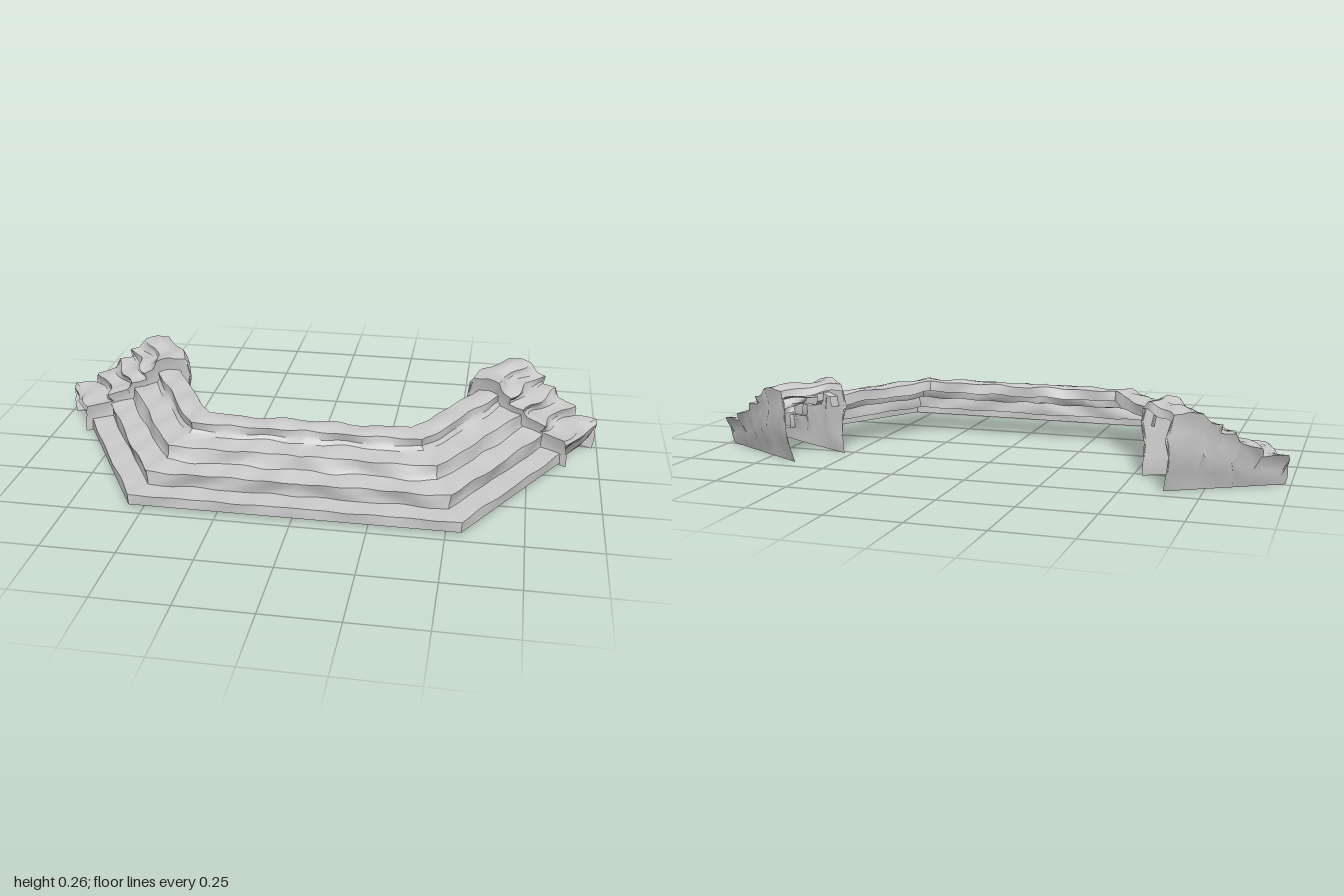
import * as THREE from 'three';
import { toCreasedNormals } from 'three/addons/utils/BufferGeometryUtils.js';

const material = new THREE.MeshStandardMaterial({ color: 0xcccccc, roughness: 0.9, side: THREE.DoubleSide });
const C = Math.cos(Math.PI / 6), S = 0.5, TAN = Math.tan(Math.PI / 6);
const CORNER_X = 0.55, FRONT_Z = 0.46;

// Stair cross-sections as [offset from the outer foot line, height]
const stairProfile = [
  [0, 0.008], [0, 0.044], [-0.078, 0.047], [-0.078, 0.06], [-0.074, 0.096], [-0.155, 0.103], [-0.16, 0.115],
  [-0.167, 0.15], [-0.25, 0.157], [-0.262, 0.17], [-0.262, 0.197], [-0.3, 0.204], [-0.342, 0.2], [-0.35, 0.165],
];
const blockProfile = [
  [-0.015, 0], [0.03, 0.085], [0.015, 0.1], [-0.075, 0.104], [-0.08, 0.115], [-0.078, 0.135], [-0.145, 0.143],
  [-0.15, 0.155], [-0.148, 0.174], [-0.205, 0.182], [-0.212, 0.19], [-0.21, 0.21], [-0.25, 0.217],
  [-0.263, 0.23], [-0.268, 0.246], [-0.31, 0.256], [-0.365, 0.247], [-0.376, 0.225],
];

// Split every profile edge so the stone can be worn unevenly
function subdivide(profile, parts) {
  const out = [];
  for (let i = 0; i < profile.length - 1; i++) {
    for (let k = 0; k < parts; k++) {
      const f = k / parts;
      out.push(profile[i].map((a, c) => a + (profile[i + 1][c] - a) * f));
    }
  }
  out.push(profile.at(-1));
  return out;
}

// Arm coordinates: t runs along the arm, n points outwards
function armPoint(t, n, y) {
  return new THREE.Vector3(CORNER_X + S * t + C * n, y, FRONT_Z - C * t + S * n);
}

// Worn stone: gentle waves, fading out at the ground
function wear(p, amount) {
  const a = amount * Math.min(1, Math.max(0, p.y - 0.01) / 0.06);
  const { x, y, z } = p;
  p.x += a * 0.6 * Math.sin(27 * z + 31 * y);
  p.y += a * 0.7 * Math.sin(37 * x + 11 * z) * Math.cos(33 * z - 9 * x);
  p.z += a * Math.sin(24 * x + 45 * y + 1);
  return p;
}

// Surface over a grid of points; faces point along du x dv
function skin(name, nu, nv, point) {
  const pos = [], index = [];
  for (let j = 0; j <= nv; j++) {
    for (let i = 0; i <= nu; i++) {
      pos.push(...point(i, j).toArray());
      if (i < nu && j < nv) {
        const a = j * (nu + 1) + i, b = a + 1, c = a + nu + 1, d = c + 1;
        index.push(a, b, d, a, d, c);
      }
    }
  }
  const geo = new THREE.BufferGeometry();
  geo.setAttribute('position', new THREE.Float32BufferAttribute(pos, 3));
  geo.setIndex(index);
  const mesh = new THREE.Mesh(toCreasedNormals(geo, 0.65), material);
  mesh.name = name;
  return mesh;
}

function createSide() {
  const side = new THREE.Group();

  // Angled flight of steps, mitred at the corner
  const steps = subdivide(stairProfile, 2);
  side.add(skin('angledSteps', 28, steps.length - 1, (i, j) => {
    const [n, y] = steps[j];
    const t0 = -n * TAN;
    return wear(armPoint(t0 + (0.65 - t0) * i / 28, n, y), 0.006);
  }));

  // Rough stepped end block: a shell open underneath and at its inner end
  const block = new THREE.Group();
  block.name = 'endBlock';
  const rim = subdivide(blockProfile, 2);
  const M = rim.length - 1;
  const blockPoint = (f, n, y) => {
    const start = 0.63 - 0.04 * Math.max(0, -n - 0.15) - 0.06 * Math.max(0, y - 0.1);
    const end = 0.822 + 0.035 * Math.min(1, y / 0.12);
    // Stones within a course step back by different amounts
    const shift = Math.min(1, y / 0.1) * 0.012 * Math.sin(f * 7 + y * 60) * (n > -0.34 ? 1 : 0.3);
    return wear(armPoint(start + (end - start) * f, n + shift - 0.006, y), 0.009);
  };
  block.add(skin('blockCourses', 12, M, (i, j) => blockPoint(i / 12, ...rim[j])));
  block.add(skin('blockEndWall', M, 4, (i, j) => blockPoint(1, rim[i][0], rim[i][1] * j / 4)));
  block.add(skin('blockFrontWall', M, 4, (i, j) => blockPoint(0, rim[M - i][0], rim[M - i][1] * j / 4)));
  side.add(block);
  return side;
}

export function createModel() {
  const model = new THREE.Group();
  model.name = 'steppedTerrace';

  // Straight middle flight
  const steps = subdivide(stairProfile, 2);
  model.add(skin('middleSteps', 48, steps.length - 1, (i, j) => {
    const [n, y] = steps[j];
    const half = CORNER_X + n * TAN;
    const x = half * (i / 24 - 1);
    // Worn symmetrically so both corners meet the angled flights
    const p = wear(new THREE.Vector3(Math.abs(x), y, FRONT_Z + n), 0.006);
    if (i === 24) p.x = 0;
    else if (x < 0) p.x *= -1;
    return p;
  }));

  // Mirrored sides
  const left = createSide();
  left.name = 'leftSide';
  const right = createSide();
  right.name = 'rightSide';
  right.scale.x = -1;
  model.add(left, right);
  return model;
}
